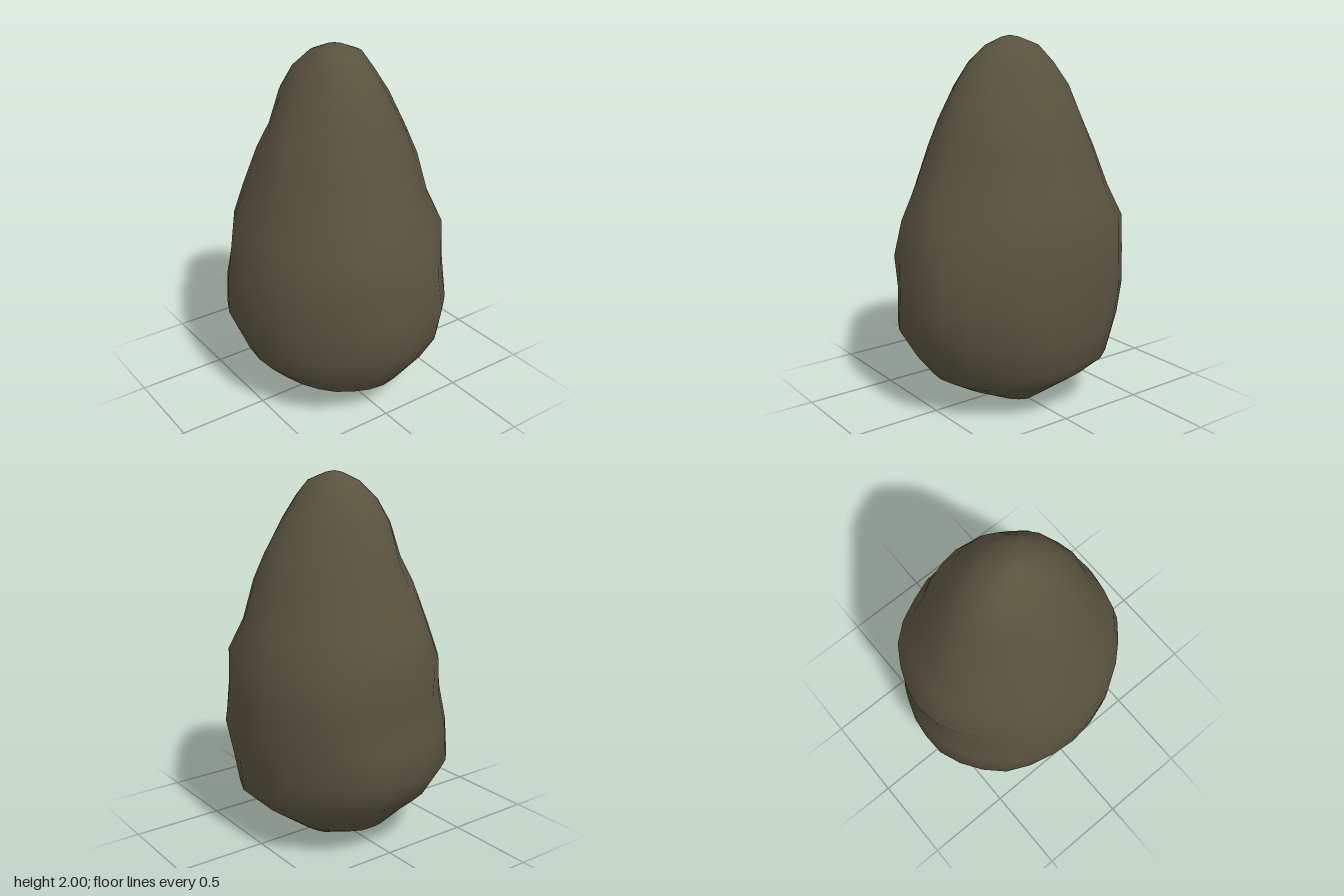
import * as THREE from 'three';

// Height, right (-x), left (+x), front (+z) and back (-z) reach of each cross-section
const RINGS = [
  [0.02, 0.12, 0.18, 0.14, 0.17],
  [0.10, 0.25, 0.31, 0.33, 0.36],
  [0.18, 0.40, 0.42, 0.47, 0.43],
  [0.29, 0.51, 0.54, 0.55, 0.55],
  [0.46, 0.58, 0.545, 0.65, 0.65],
  [0.65, 0.585, 0.58, 0.65, 0.64],
  [0.84, 0.575, 0.56, 0.645, 0.61],
  [1.03, 0.535, 0.575, 0.60, 0.63],
  [1.20, 0.465, 0.495, 0.54, 0.56],
  [1.42, 0.40, 0.44, 0.45, 0.47],
  [1.56, 0.345, 0.38, 0.40, 0.41],
  [1.74, 0.26, 0.295, 0.32, 0.33],
  [1.86, 0.19, 0.21, 0.24, 0.245],
  [1.95, 0.11, 0.15, 0.14, 0.15],
  [1.99, 0.04, 0.05, 0.05, 0.05],
];

// Dents and bumps: angle from +x towards +z, height, strength
const LUMPS = [
  [0.85, 1.22, -0.05], [3.93, 1.62, -0.09], [3.93, 1.82, 0.07],
  [0.70, 1.75, -0.08], [-0.75, 0.8, 0.05], [1.10, 0.7, 0.05],
  [2.20, 0.6, -0.03], [4.0, 0.95, -0.03], [3.9, 0.45, 0.03], [5.4, 1.5, -0.03],
];
const SIDES = 28;

function bumpiness(a, y) {
  let f = 1 + 0.012 * Math.sin(5 * a + 4 * y) * Math.cos(3 * a - 7 * y)
    + 0.008 * Math.sin(9 * a - 5 * y + 1);
  for (const [la, ly, s] of LUMPS) {
    const d = Math.atan2(Math.sin(a - la), Math.cos(a - la));
    f += s * Math.exp(-((d / 0.35) ** 2) - ((y - ly) / 0.16) ** 2);
  }
  return f;
}

export function createModel() {
  const pos = [], index = [];

  // Lumpy egg-shaped cross-sections from bottom to top
  for (const [y, right, left, front, back] of RINGS) {
    for (let i = 0; i < SIDES; i++) {
      const a = (i / SIDES) * Math.PI * 2;
      const c = Math.cos(a), s = Math.sin(a), f = bumpiness(a, y);
      const x = c * (c > 0 ? left : right) * f;
      const z = s * (s > 0 ? front : back) * f;
      const tilt = y < 0.05 ? -0.08 * x : 0;
      pos.push(x, y + tilt, z);
    }
  }
  for (let r = 0; r < RINGS.length - 1; r++) {
    for (let i = 0; i < SIDES; i++) {
      const a = r * SIDES + i, b = r * SIDES + (i + 1) % SIDES;
      index.push(a, a + SIDES, b, b, a + SIDES, b + SIDES);
    }
  }

  // Close the underside and the tip
  const bottom = pos.length / 3, top = bottom + 1;
  pos.push(0.06, 0.005, 0, 0, 2, 0);
  const last = (RINGS.length - 1) * SIDES;
  for (let i = 0; i < SIDES; i++) {
    const j = (i + 1) % SIDES;
    index.push(bottom, i, j, top, last + j, last + i);
  }

  const geometry = new THREE.BufferGeometry();
  geometry.setAttribute('position', new THREE.Float32BufferAttribute(pos, 3));
  geometry.setIndex(index);
  geometry.computeVertexNormals();

  const stone = new THREE.MeshStandardMaterial({ color: 0x59533f });
  stone.name = 'darkStone';
  const rock = new THREE.Mesh(geometry, stone);
  rock.name = 'boulder';

  const model = new THREE.Group();
  model.name = 'rock';
  model.add(rock);
  return model;
}
